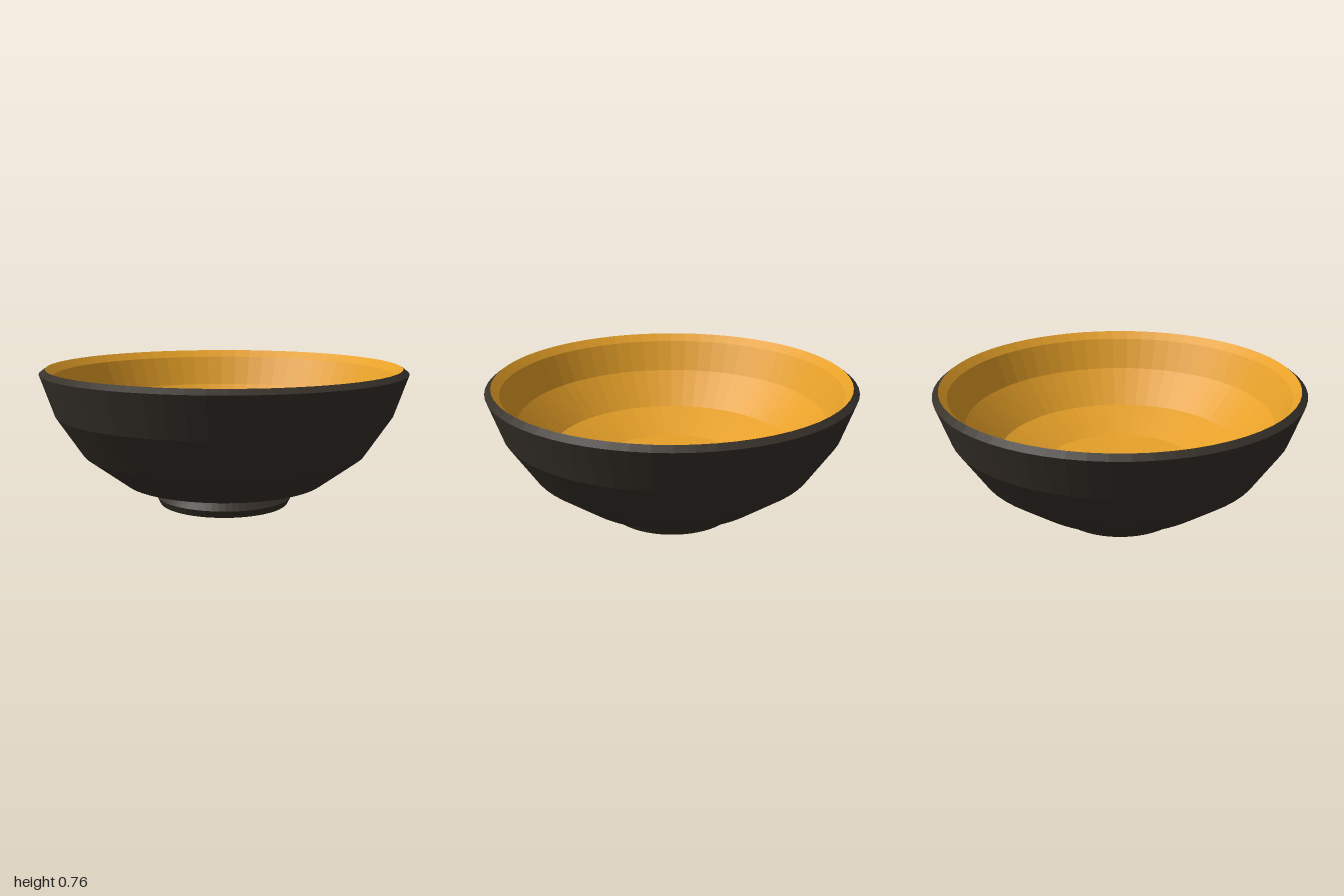
import * as THREE from 'three';

const SEGMENTS = 64;

export function createModel() {
  const glaze = new THREE.MeshStandardMaterial({ color: 0x37312a, flatShading: true });
  glaze.name = 'dark glaze';
  const lining = new THREE.MeshStandardMaterial({ color: 0xe6a028, flatShading: true });
  lining.name = 'golden lining';

  const bowl = new THREE.Group();
  bowl.name = 'bowl';

  // Turns a profile of [radius, height] points around the y axis
  const turn = (name, profile, material) => {
    const points = profile.map(([r, y]) => new THREE.Vector2(r, y));
    const mesh = new THREE.Mesh(new THREE.LatheGeometry(points, SEGMENTS), material);
    mesh.name = name;
    bowl.add(mesh);
  };

  // Foot ring with a closed, flat underside
  turn('foot', [[0, 0], [0.36, 0], [0.38, 0.04], [0.34, 0.08]], glaze);

  // Outer wall in widening bands
  turn('outerWall', [[0.34, 0.08], [0.56, 0.135], [0.78, 0.3], [0.925, 0.52], [1, 0.74]], glaze);

  // Bevelled lip
  turn('rim', [[1, 0.74], [0.967, 0.765]], glaze);

  // Inner wall, from the lip down to the shallow floor
  turn('innerWall', [[0.967, 0.765], [0.925, 0.725], [0.843, 0.555], [0.67, 0.37], [0.43, 0.265], [0, 0.225]], lining);

  return bowl;
}
